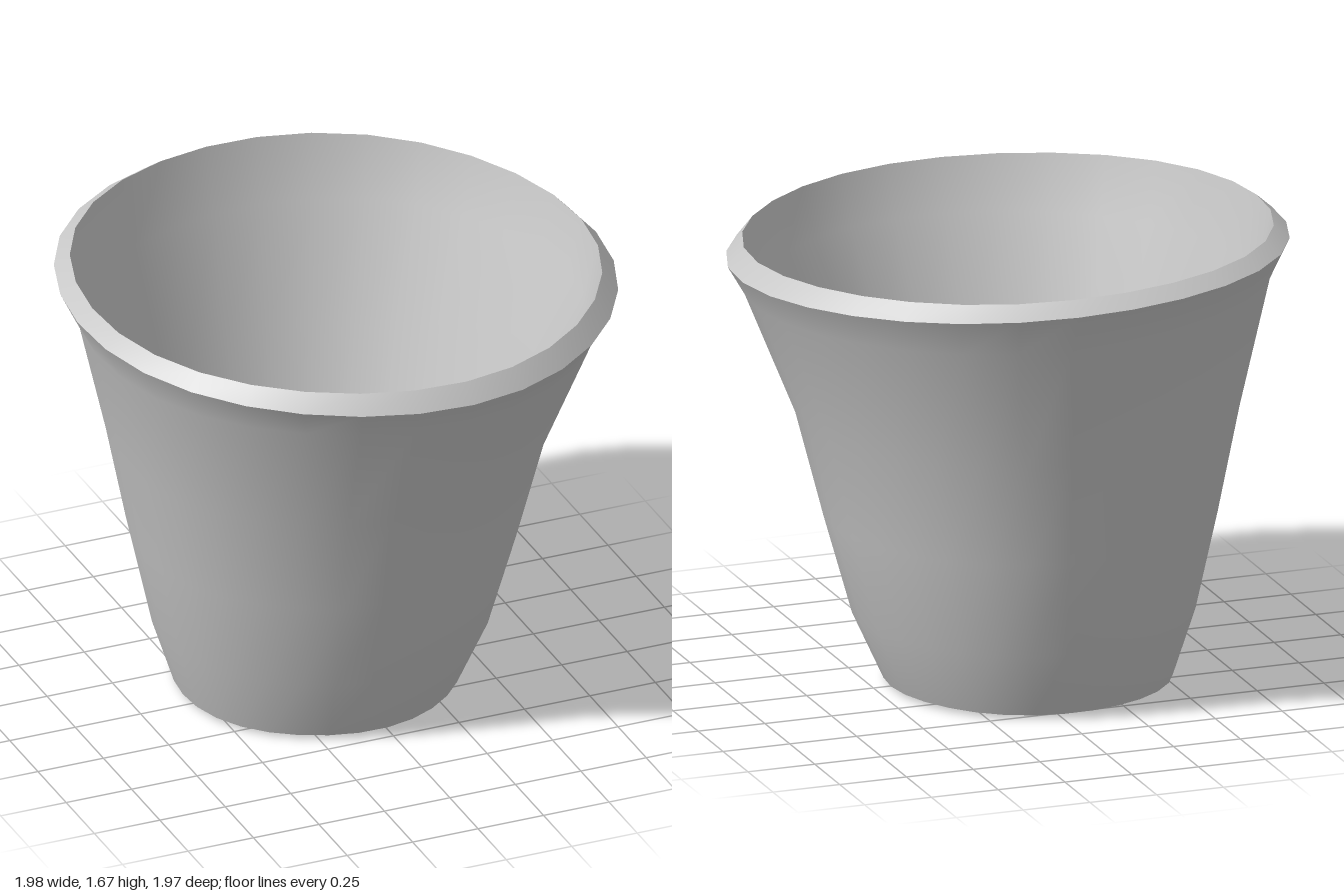
import * as THREE from 'three';

const SIDES = 30;
const clay = new THREE.MeshStandardMaterial({ color: 0xc8c8c8 });
clay.name = 'plain grey clay';

// A ring of points: radius, height, centre, and slope of its plane along x and z
function ring(r, y, cx = 0, cz = 0, tx = 0, tz = 0, wobble = 0.006) {
  const points = [];
  for (let i = 0; i < SIDES; i++) {
    const a = (i / SIDES) * Math.PI * 2;
    const rr = r * (1 + wobble * Math.sin(5 * a + 1));
    const x = rr * Math.cos(a), z = rr * Math.sin(a);
    points.push([cx + x, y + tx * x + tz * z, cz + z]);
  }
  return points;
}

// Smooth skin over consecutive rings; separate skins meet in a sharp edge
function skin(name, rings) {
  const index = [];
  for (let j = 0; j < rings.length - 1; j++) {
    for (let i = 0; i < SIDES; i++) {
      const k = (i + 1) % SIDES;
      const a = j * SIDES + i, b = j * SIDES + k;
      index.push(a, a + SIDES, b, b, a + SIDES, b + SIDES);
    }
  }
  const geometry = new THREE.BufferGeometry();
  geometry.setAttribute('position', new THREE.Float32BufferAttribute(rings.flat(2), 3));
  geometry.setIndex(index);
  geometry.computeVertexNormals();
  const mesh = new THREE.Mesh(geometry, clay);
  mesh.name = name;
  return mesh;
}

export function createModel() {
  const pot = new THREE.Group();
  pot.name = 'flowerPot';

  // Rings shared between neighbouring parts
  const base = ring(0.51, 0.015, -0.06, -0.05);
  const rimEdge = ring(0.99, 1.578, -0.003, -0.003, -0.03, -0.04, 0.004);
  const lip = ring(0.934, 1.635, -0.005, 0.002, -0.022, -0.03, 0.004);
  const floorEdge = ring(0.46, 0.06, -0.035, -0.06);
  const hole = [-0.18, 0.03];
  const holeTop = ring(0.05, 0.05, ...hole);
  const holeBottom = ring(0.045, 0, ...hole);

  // Leaning outer wall flaring out under the rim
  pot.add(skin('outerWall', [
    base,
    ring(0.605, 0.26, -0.045, -0.045),
    ring(0.695, 0.62, -0.038, -0.032),
    ring(0.782, 1.0, -0.03, -0.02),
    ring(0.925, 1.455, 0, 0, -0.015, -0.02),
    rimEdge,
  ]));

  // Sloping rim
  pot.add(skin('rim', [rimEdge, lip]));

  // Inside of the pot
  pot.add(skin('innerWall', [
    lip,
    ring(0.88, 1.42, -0.005, 0),
    ring(0.735, 1.0, -0.025, -0.02),
    ring(0.555, 0.3, -0.04, -0.045),
    floorEdge,
  ]));

  // Floor, drain hole and underside
  pot.add(skin('floor', [floorEdge, ring(0.11, 0.06, ...hole), holeTop]));
  pot.add(skin('drainHole', [holeTop, holeBottom]));
  pot.add(skin('underside', [holeBottom, ring(0.11, 0.012, ...hole), base]));

  return pot;
}
